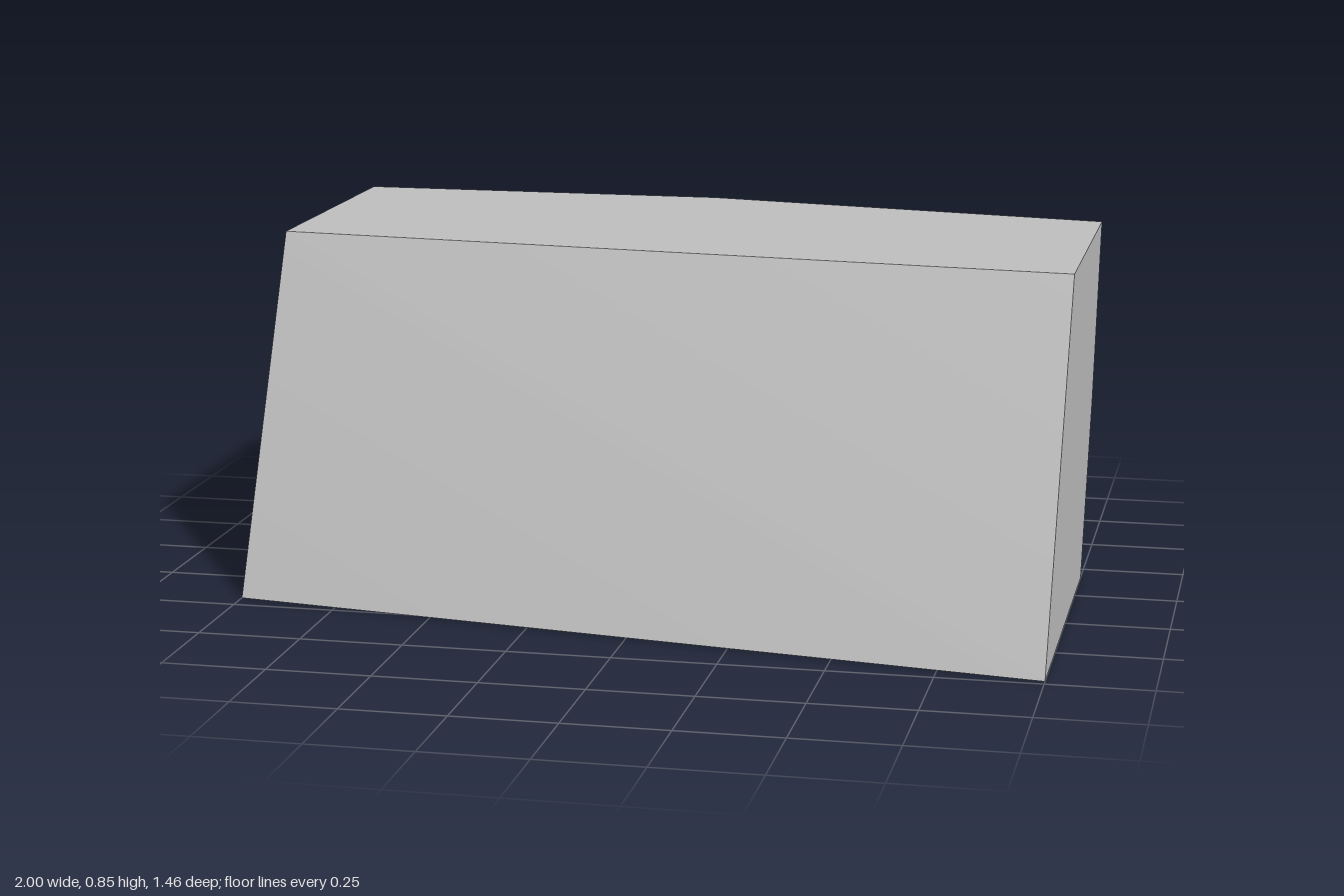
import * as THREE from 'three';
import { toCreasedNormals } from 'three/addons/utils/BufferGeometryUtils.js';

const H = 0.845;      // block height
const BACK = -0.73;   // vertical plane that trims the back
const SPLIT = -0.05;  // x where the trim runs out

// Cross-section at x, as [y, z]: front bottom, front top, back top, trim, bend, back bottom
function section(x) {
  const u = (x + 1) / 2;
  const bottomZ = -0.28 + 0.11 * x - 0.07 * (1 - x * x);
  const topZ = x < SPLIT ? BACK : BACK + 0.19 * (x - SPLIT) / (1 - SPLIT);
  const t = Math.min(1, (x + 1) / (1 + SPLIT));
  const trimY = 0.73 + (H - 0.73) * t * t;
  const bendY = trimY * 0.485;
  const bendZ = bottomZ + (topZ - bottomZ) * 0.485 - 0.03 * u;
  return [
    [0, 0.585 + 0.145 * x], [H, 0.1325 + 0.1025 * x], [H, topZ],
    [trimY, topZ], [bendY, bendZ], [0, bottomZ],
  ].map(([y, z]) => new THREE.Vector3(x, y, z));
}

function blockGeometry() {
  const xs = [];
  for (let i = 0; i <= 10; i++) xs.push(-1 + (1 + SPLIT) * i / 10);
  for (let i = 1; i <= 10; i++) xs.push(SPLIT + (1 - SPLIT) * i / 10);
  const rings = xs.map(section);
  const first = rings[0], last = rings[rings.length - 1];
  const positions = [];
  const tri = (a, b, c) => {
    if (new THREE.Triangle(a, b, c).getArea() < 1e-8) return;
    for (const p of [a, b, c]) positions.push(p.x, p.y, p.z);
  };
  const quad = (a, b, c, d) => { tri(a, b, d); tri(b, c, d); };

  // Slanted front, slightly twisted along one diagonal
  quad(first[0], last[0], last[1], first[1]);
  // Top, trimmed back, curved back and underside
  for (let i = 0; i < rings.length - 1; i++) {
    const p = rings[i], q = rings[i + 1];
    for (let j = 1; j < 6; j++) quad(p[j], q[j], q[(j + 1) % 6], p[(j + 1) % 6]);
  }
  // Flat ends
  for (let j = 1; j < 5; j++) {
    tri(first[0], first[j], first[j + 1]);
    tri(last[0], last[j + 1], last[j]);
  }
  const geometry = new THREE.BufferGeometry();
  geometry.setAttribute('position', new THREE.Float32BufferAttribute(positions, 3));
  return toCreasedNormals(geometry, 0.25);
}

export function createModel() {
  const group = new THREE.Group();
  group.name = 'slantedBlock';
  const grey = new THREE.MeshStandardMaterial({ color: 0xc0c0c0 });
  grey.name = 'light grey';
  const block = new THREE.Mesh(blockGeometry(), grey);
  block.name = 'block';
  group.add(block);
  return group;
}
